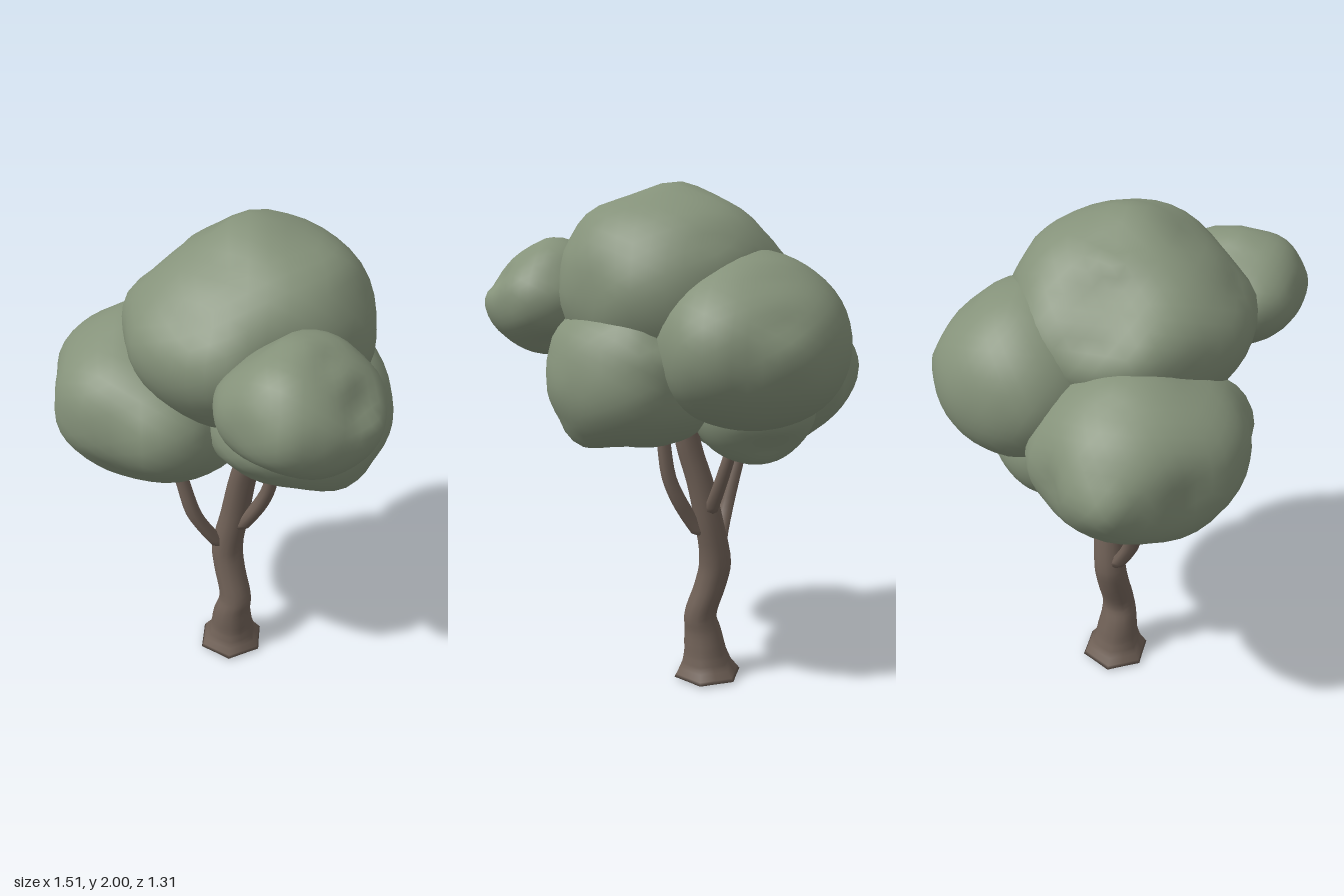
import * as THREE from 'three';
import { mergeVertices } from 'three/addons/utils/BufferGeometryUtils.js';

const leafGreen = new THREE.MeshStandardMaterial({ name: 'leafGreen', color: 0x85927a });
const barkBrown = new THREE.MeshStandardMaterial({ name: 'barkBrown', color: 0x706157 });

// Leaf clump: an ellipsoid pulled smoothly towards outlines in its three middle planes
// front holds [x, y], side holds [z, y], plan holds [x, z]
function clumpGeometry({ center, radii, front = [], side = [], plan = [] }) {
  const c = new THREE.Vector3(...center), size = new THREE.Vector3(...radii);
  const pulls = [
    ...front.map(([x, y]) => new THREE.Vector3(x, y, c.z)),
    ...side.map(([z, y]) => new THREE.Vector3(c.x, y, z)),
    ...plan.map(([x, z]) => new THREE.Vector3(x, c.y, z)),
  ].map((p) => {
    p.sub(c).divide(size);
    return { reach: p.length(), dir: p.normalize() };
  });
  let geo = new THREE.IcosahedronGeometry(1, 7);
  geo.deleteAttribute('uv');
  geo.deleteAttribute('normal');
  geo = mergeVertices(geo, 1e-4);
  const pos = geo.attributes.position, v = new THREE.Vector3();
  for (let i = 0; i < pos.count; i++) {
    v.fromBufferAttribute(pos, i);
    let sum = 0.6, total = 0.6;
    for (const { dir, reach } of pulls) {
      const w = (1 - v.dot(dir) + 0.02) ** -2;
      sum += w * reach;
      total += w;
    }
    v.multiplyScalar(sum / total).multiply(size).add(c);
    pos.setXYZ(i, v.x, v.y, v.z);
  }
  geo.computeVertexNormals();
  return geo;
}

// Tapered limb through [x, y, z, radius] points, closed at the foot
// corners is how deep the six-cornered rim is cut at ground level
function limbGeometry(points, sides, rows, footDrop = 0, corners = 0) {
  const path = new THREE.CatmullRomCurve3(points.map(p => new THREE.Vector3(p[0], p[1], p[2])));
  const verts = [], index = [];
  const last = points.length - 1;
  for (let i = 0; i <= rows; i++) {
    const t = i / rows, c = path.getPoint(t);
    const k = Math.min(Math.floor(t * last), last - 1);
    const r = THREE.MathUtils.lerp(points[k][3], points[k + 1][3], t * last - k);
    const cut = corners * Math.max(0, 1 - c.y / 0.14);
    for (let j = 0; j < sides; j++) {
      const a = (j / sides) * Math.PI * 2;
      const q = r * (1 - cut * (0.5 - 0.5 * Math.cos(6 * a)));
      verts.push(c.x + q * Math.cos(a), c.y, c.z + q * Math.sin(a));
    }
  }
  for (let i = 0; i < rows; i++) {
    for (let j = 0; j < sides; j++) {
      const a = i * sides + j, b = i * sides + (j + 1) % sides;
      index.push(a, a + sides, b, b, a + sides, b + sides);
    }
  }
  const foot = verts.length / 3;
  verts.push(points[0][0], points[0][1] - footDrop, points[0][2]);
  for (let j = 0; j < sides; j++) index.push(foot, j, (j + 1) % sides);
  const geo = new THREE.BufferGeometry();
  geo.setAttribute('position', new THREE.Float32BufferAttribute(verts, 3));
  geo.setIndex(index);
  geo.computeVertexNormals();
  return geo;
}

export function createModel() {
  const tree = new THREE.Group();
  tree.name = 'tree';
  const add = (name, geo, mat) => {
    const mesh = new THREE.Mesh(geo, mat);
    mesh.name = name;
    tree.add(mesh);
  };

  // Trunk with flared foot
  add('trunk', limbGeometry([
    [-0.05, 0.01, 0.025, 0.143], [-0.046, 0.06, 0.028, 0.108], [-0.042, 0.11, 0.03, 0.091],
    [-0.034, 0.2, 0.037, 0.077], [-0.022, 0.27, 0.032, 0.067], [-0.06, 0.4, 0.018, 0.066],
    [-0.077, 0.5, 0.008, 0.066], [-0.045, 0.68, -0.005, 0.06], [-0.01, 0.84, 0, 0.056],
    [0.035, 1.0, 0.012, 0.053], [0.07, 1.25, 0.01, 0.04],
  ], 12, 40, 0.01, 0.15), barkBrown);

  // Branches
  add('rightBranch', limbGeometry([
    [-0.1, 0.535, 0.045, 0.036], [-0.13, 0.61, 0.085, 0.034], [-0.165, 0.7, 0.12, 0.032],
    [-0.2, 0.82, 0.13, 0.029], [-0.235, 0.95, 0.135, 0.027], [-0.26, 1.1, 0.14, 0.02],
  ], 8, 15, 0.015), barkBrown);
  add('leftBranch', limbGeometry([
    [-0.01, 0.63, 0, 0.036], [0.03, 0.69, 0, 0.036], [0.078, 0.77, -0.005, 0.034],
    [0.12, 0.87, -0.005, 0.03], [0.138, 1.0, 0, 0.028], [0.15, 1.15, 0, 0.02],
  ], 8, 15, 0.015), barkBrown);
  add('backBranch', limbGeometry([
    [-0.04, 0.72, -0.03, 0.032], [-0.052, 0.8, -0.075, 0.03], [-0.07, 0.9, -0.115, 0.028],
    [-0.09, 1.0, -0.14, 0.026], [-0.1, 1.12, -0.16, 0.02],
  ], 8, 12), barkBrown);

  // Leaf clumps
  add('topLeaves', clumpGeometry({
    center: [0.05, 1.6, 0.04], radii: [0.47, 0.36, 0.45],
    front: [[-0.41, 1.57], [-0.33, 1.68], [-0.23, 1.79], [-0.12, 1.91], [0.07, 2.01], [0.25, 1.95],
      [0.4, 1.9], [0.49, 1.77], [0.4, 1.34], [0.05, 1.25], [-0.22, 1.37]],
    side: [[0.4, 1.79], [0.31, 1.87], [-0.12, 1.96], [-0.25, 1.9], [-0.36, 1.76], [-0.35, 1.4], [0.35, 1.32]],
    plan: [[-0.39, 0.2], [-0.3, 0.33], [-0.08, 0.5], [0.21, 0.5], [0.37, 0.31], [0.5, 0.14], [0.53, 0.02],
      [0.44, -0.18], [0.37, -0.3], [0.27, -0.36], [0.06, -0.39], [-0.09, -0.35], [-0.3, -0.25]],
  }), leafGreen);
  add('rightLeaves', clumpGeometry({
    center: [-0.32, 1.26, 0.16], radii: [0.43, 0.34, 0.4],
    front: [[-0.76, 1.26], [-0.68, 1.39], [-0.57, 1.51], [-0.37, 1.6], [-0.17, 1.51], [0.04, 1.38],
      [0.115, 1.24], [0.05, 1.06], [-0.15, 0.93], [-0.28, 0.91], [-0.47, 1.01], [-0.65, 1.09]],
    side: [[0.565, 1.36], [0.565, 1.23], [0.5, 1.11], [0.39, 0.995], [0.24, 0.91], [0.11, 0.92]],
    plan: [[-0.7, 0.01], [-0.6, -0.05], [-0.52, -0.18], [-0.68, 0.27], [-0.59, 0.38], [-0.4, 0.55],
      [-0.27, 0.57], [0.02, 0.51]],
  }), leafGreen);
  add('frontLeftLeaves', clumpGeometry({
    center: [0.48, 1.55, 0.385], radii: [0.27, 0.235, 0.27],
    front: [[0.21, 1.52], [0.25, 1.63], [0.33, 1.72], [0.46, 1.79], [0.6, 1.73], [0.68, 1.635],
      [0.76, 1.535], [0.59, 1.34], [0.46, 1.325], [0.3, 1.39], [0.22, 1.455]],
    side: [[0.655, 1.54], [0.63, 1.655], [0.57, 1.735], [0.24, 1.76], [0.15, 1.655],
      [0.115, 1.52], [0.24, 1.39], [0.55, 1.39]],
    plan: [[0.21, 0.49], [0.27, 0.58], [0.43, 0.64], [0.56, 0.66], [0.67, 0.57], [0.7, 0.22], [0.64, 0.145], [0.55, 0.11]],
  }), leafGreen);
  add('backLeaves', clumpGeometry({
    center: [-0.12, 1.42, -0.3], radii: [0.37, 0.33, 0.35],
    side: [[-0.27, 1.77], [-0.37, 1.74], [-0.5, 1.655], [-0.6, 1.52], [-0.655, 1.42], [-0.62, 1.31],
      [-0.55, 1.21], [-0.42, 1.13]],
    plan: [[-0.49, -0.26], [-0.49, -0.16], [-0.46, -0.4], [-0.38, -0.53], [-0.28, -0.6], [-0.11, -0.66],
      [0, -0.62], [0.125, -0.59], [0.21, -0.51], [0.25, -0.38]],
  }), leafGreen);
  add('leftLeaves', clumpGeometry({
    center: [0.24, 1.27, 0], radii: [0.345, 0.29, 0.38],
    front: [[0.45, 1.55], [0.54, 1.47], [0.58, 1.36], [0.585, 1.22], [0.55, 1.14], [0.5, 1.04],
      [0.28, 1.03], [0.05, 1.04]],
    side: [[0.39, 1.26], [0.37, 1.35], [0.29, 1.47], [0.15, 1.55], [-0.02, 1.58], [-0.26, 1.56], [-0.35, 1.43],
      [-0.36, 1.23], [-0.26, 1.08], [-0.02, 1.02], [0.14, 1.05], [0.3, 1.13]],
    plan: [[0.29, -0.37], [0.41, -0.32], [0.51, -0.22], [0.58, -0.1], [0.57, 0.1]],
  }), leafGreen);
  add('lowerBackLeaves', clumpGeometry({
    center: [-0.17, 1.17, -0.17], radii: [0.24, 0.21, 0.24],
    side: [[-0.41, 1.15], [-0.34, 1.05], [-0.26, 0.96], [-0.14, 0.955]],
  }), leafGreen);

  return tree;
}
